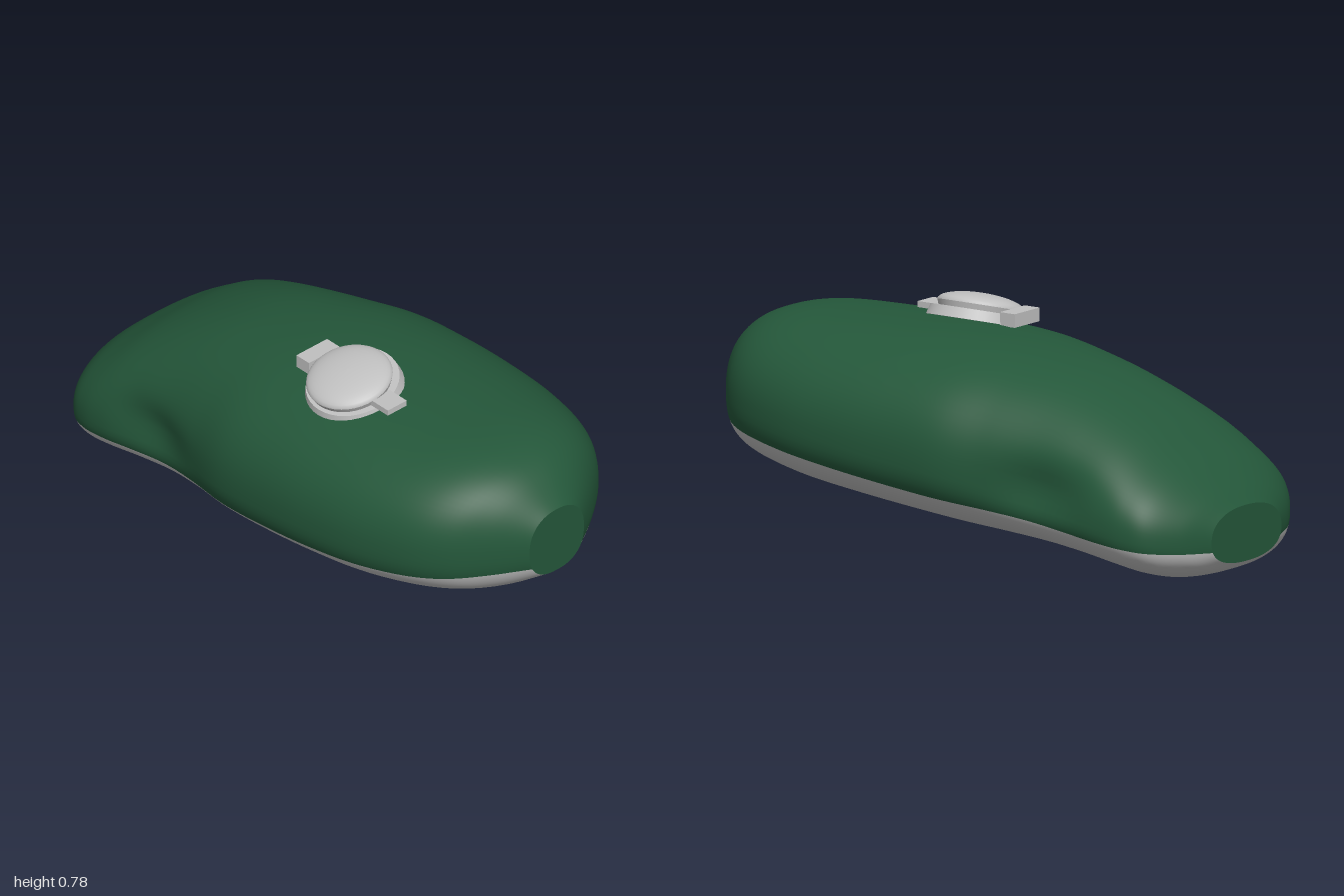
import * as THREE from 'three';

const UP = 48, LOW = 32, RING = UP + LOW, STEPS = 100;
const TOP_POWER = 2.3, LOW_POWER = 2.4;

// Stations along the tank: x, top, bottom, half width, height of the widest point
const STATIONS = [
  [-1, 0.24, 0.055, 0.19, 0.14], [-0.95, 0.295, 0.025, 0.3, 0.15],
  [-0.88, 0.36, 0.005, 0.39, 0.165], [-0.8, 0.42, 0.006, 0.425, 0.18],
  [-0.7, 0.49, 0.022, 0.434, 0.2], [-0.57, 0.557, 0.042, 0.43, 0.225],
  [-0.42, 0.614, 0.06, 0.432, 0.255], [-0.26, 0.653, 0.075, 0.455, 0.29],
  [-0.08, 0.682, 0.092, 0.492, 0.325], [0.12, 0.698, 0.113, 0.5, 0.345],
  [0.32, 0.702, 0.135, 0.495, 0.365], [0.52, 0.703, 0.158, 0.472, 0.385],
  [0.7, 0.7, 0.187, 0.42, 0.405], [0.82, 0.68, 0.215, 0.35, 0.415],
  [0.91, 0.635, 0.25, 0.25, 0.42], [1, 0.547, 0.307, 0.12, 0.425],
];
const heights = new THREE.CatmullRomCurve3(
  STATIONS.map(s => new THREE.Vector3(s[0], s[1], s[2])), false, 'catmullrom');
const widths = new THREE.CatmullRomCurve3(
  STATIONS.map(s => new THREE.Vector3(s[0], s[3], s[4])), false, 'catmullrom');

const signedPow = (v, p) => Math.sign(v) * Math.abs(v) ** p;

// One cross-section: UP points over the painted side, LOW points under the seam
function section(u) {
  const { x, y: top, z: bottom } = heights.getPoint(u);
  const { y: half, z: mid } = widths.getPoint(u);
  const seam = 0.235 + 0.125 * x;
  const drop = THREE.MathUtils.clamp((mid - seam) / (mid - bottom), 0.05, 0.95);
  const a = Math.asin(drop ** (LOW_POWER / 2));
  const points = [];
  for (let j = 0; j < RING; j++) {
    const t = j < UP
      ? -a + (Math.PI + 2 * a) * j / UP
      : Math.PI + a + (Math.PI - 2 * a) * (j - UP) / LOW;
    const s = Math.sin(t), p = 2 / (s > 0 ? TOP_POWER : LOW_POWER);
    const y = mid + (s > 0 ? top - mid : mid - bottom) * signedPow(s, p);
    // knee recess
    const dent = 0.085 * Math.exp(-(((x + 0.47) / 0.17) ** 2) - ((y - 0.29) / 0.085) ** 2);
    points.push(x, y, half * signedPow(Math.cos(t), p) * (1 - dent));
  }
  return points;
}

// Smooth shell; group 0 is the paint, group 1 the underside
function shellGeometry() {
  const positions = [], paint = [], under = [];
  for (let i = 0; i <= STEPS; i++) positions.push(...section(i / STEPS));
  for (let i = 0; i < STEPS; i++) {
    for (let j = 0; j < RING; j++) {
      const k = (j + 1) % RING;
      const a = i * RING + j, b = a + RING, c = i * RING + k, d = c + RING;
      (j < UP ? paint : under).push(a, b, c, b, d, c);
    }
  }
  const g = new THREE.BufferGeometry();
  g.setAttribute('position', new THREE.Float32BufferAttribute(positions, 3));
  g.setIndex([...paint, ...under]);
  g.addGroup(0, paint.length, 0);
  g.addGroup(paint.length, under.length, 1);
  g.computeVertexNormals();
  return g;
}

// Flat face closing one end of the shell
function endGeometry(u) {
  const { x, y, z } = heights.getPoint(u);
  const positions = [...section(u), x, (y + z) / 2, 0], index = [];
  for (let j = 0; j < RING; j++) {
    const k = (j + 1) % RING;
    index.push(RING, ...(u > 0.5 ? [k, j] : [j, k]));
  }
  const g = new THREE.BufferGeometry();
  g.setAttribute('position', new THREE.Float32BufferAttribute(positions, 3));
  g.setIndex(index);
  g.computeVertexNormals();
  return g;
}

export function createModel() {
  const model = new THREE.Group();
  model.name = 'fuelTank';
  const green = new THREE.MeshStandardMaterial({ color: 0x24573a });
  green.name = 'dark green paint';
  const metal = new THREE.MeshStandardMaterial({ color: 0xc0c0c0 });
  metal.name = 'light grey metal';

  const add = (name, geometry, material, parent = model) => {
    const mesh = new THREE.Mesh(geometry, material);
    mesh.name = name;
    parent.add(mesh);
    return mesh;
  };

  add('tankShell', shellGeometry(), [green, metal]);
  add('frontEnd', endGeometry(1), green);
  add('rearEnd', endGeometry(0), green);

  // Filler cap, leaning with the tank surface
  const filler = new THREE.Group();
  filler.name = 'fillerCap';
  filler.position.set(0.195, 0.692, 0.15);
  filler.rotation.x = 0.26;
  model.add(filler);
  add('fillerRim', new THREE.CylinderGeometry(0.155, 0.165, 0.035, 40), metal, filler);

  const lid = [[0.132, 0], [0.143, 0.03]].map(p => new THREE.Vector2(...p));
  for (let i = 0; i <= 10; i++) {
    const t = i / 10 * Math.PI / 2;
    lid.push(new THREE.Vector2(0.143 * Math.cos(t), 0.03 + 0.04 * Math.sin(t)));
  }
  add('fillerLid', new THREE.LatheGeometry(lid, 40), metal, filler).position.set(-0.005, 0.006, 0.005);

  // Hinge and latch on either side of the cap
  add('hinge', new THREE.BoxGeometry(0.06, 0.045, 0.135), metal).position.set(0.02, 0.711, 0.145);
  add('latch', new THREE.BoxGeometry(0.08, 0.02, 0.083), metal).position.set(0.365, 0.711, 0.152);

  return model;
}
